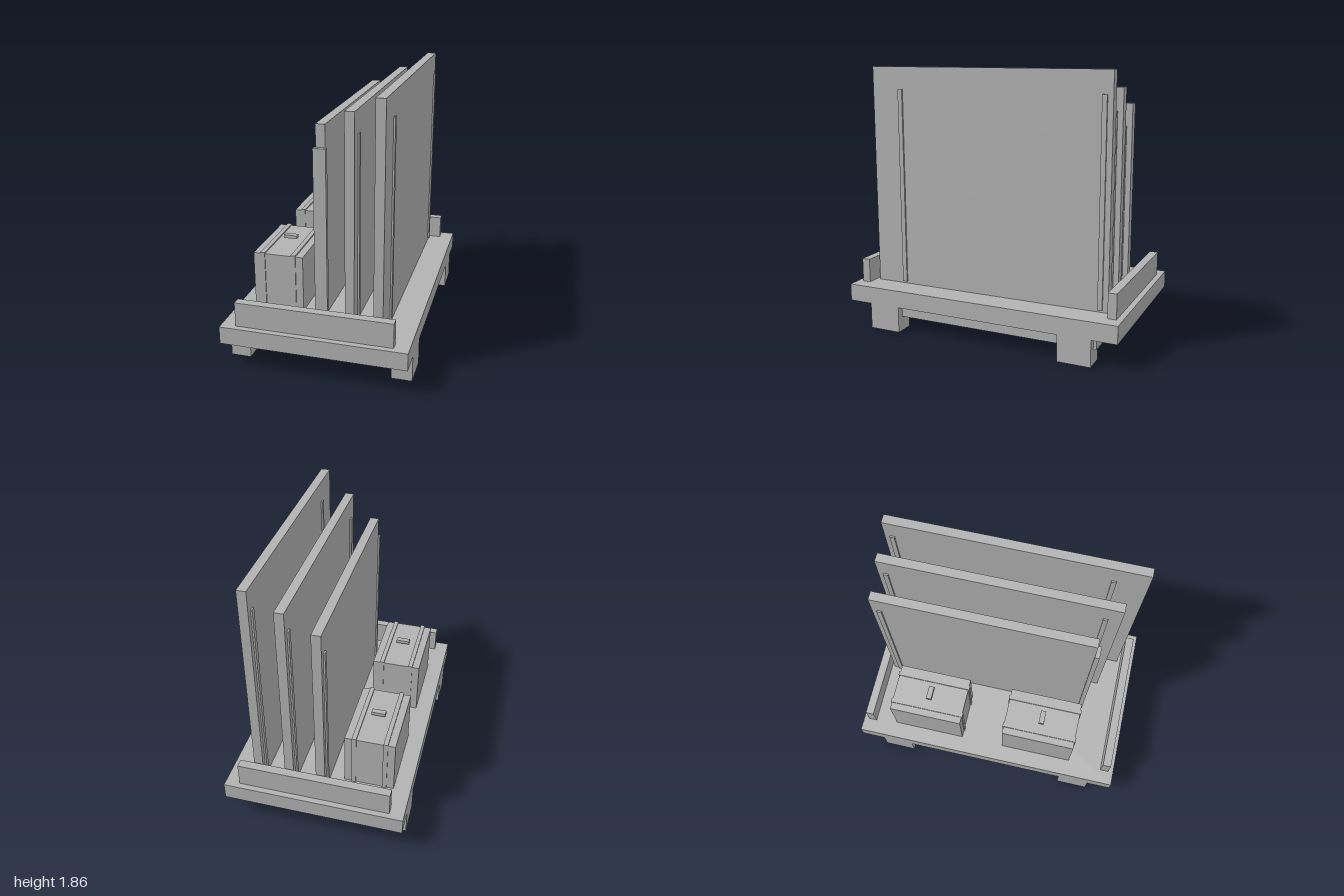
import * as THREE from 'three';

export function createModel() {
  const root = new THREE.Group();
  const grey = new THREE.MeshStandardMaterial({ color: 0xb2b2b2 });
  grey.name = 'plain grey';

  // Box given by its minimum and maximum along each axis
  function block(name, [x0, x1], [y0, y1], [z0, z1], parent = root) {
    const mesh = new THREE.Mesh(new THREE.BoxGeometry(x1 - x0, y1 - y0, z1 - z0), grey);
    mesh.position.set((x0 + x1) / 2, (y0 + y1) / 2, (z0 + z1) / 2);
    mesh.name = name;
    parent.add(mesh);
  }
  const around = (centre, size) => [centre - size / 2, centre + size / 2];

  // Base: deck, underframe, feet and end rails
  const deckTop = 0.305;
  block('deck', [-0.63, 0.63], [0.183, deckTop], [-1, 1]);
  block('underframe', [-0.58, 0.58], [0.103, 0.183], [-0.848, 0.848]);
  for (const sz of [1, -1]) {
    for (const sx of [1, -1]) {
      block('foot', around(sx * 0.56, 0.14), [0, 0.183], around(sz * 0.713, 0.23));
    }
    block('endRail', [-0.53, 0.53], [deckTop, 0.475], around(sz * 0.93, 0.06));
  }

  // Upright panels, growing in height and length, each with two edge battens
  const panels = [
    { x: -0.032, top: 1.62, front: 0.636 },
    { x: 0.189, top: 1.738, front: 0.752 },
    { x: 0.409, top: 1.855, front: 0.873 },
  ];
  for (const { x, top, front } of panels) {
    const group = new THREE.Group();
    group.name = 'panelAssembly';
    root.add(group);
    block('panel', around(x, 0.063), [deckTop, top], [-0.877, front], group);
    for (const z of [-0.823, 0.65]) {
      block('batten', around(x, 0.086), [0.32, top - 0.152], around(z, 0.033), group);
    }
  }

  // Two strapped cases, each with a handle above the lid
  for (const z of [-0.471, 0.38]) {
    const group = new THREE.Group();
    group.name = 'case';
    root.add(group);
    block('caseBody', [-0.512, -0.164], [deckTop, 0.7], around(z, 0.533), group);
    for (const x of [-0.446, -0.23]) {
      block('strap', around(x, 0.031), [deckTop, 0.71], around(z, 0.547), group);
    }
    block('handle', around(-0.338, 0.096), [0.72, 0.744], around(z, 0.038), group);
  }
  return root;
}
